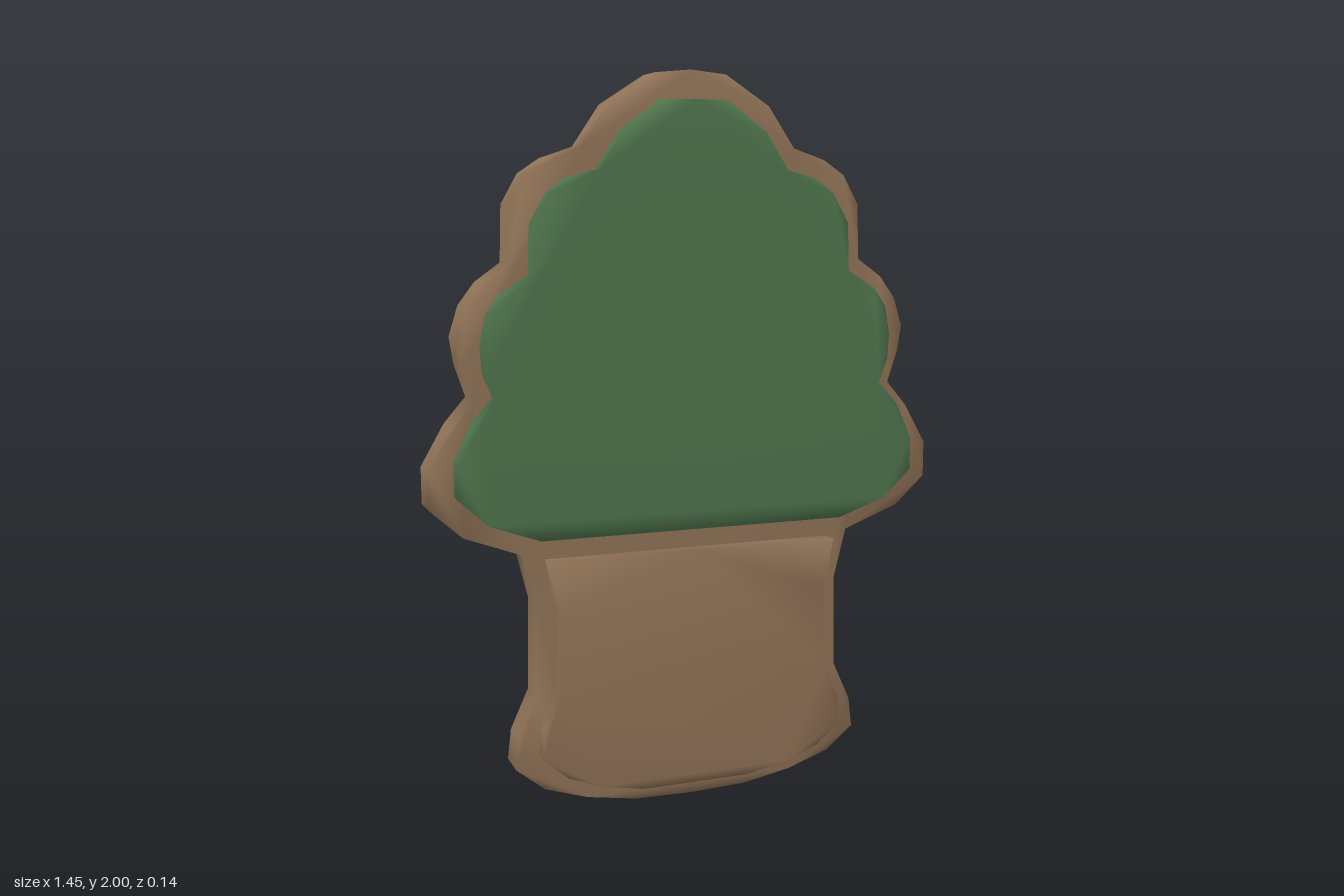
import * as THREE from 'three';

const material = (name, color) => {
  const m = new THREE.MeshStandardMaterial({ name, color, side: THREE.DoubleSide });
  return m;
};
const brown = material('warm brown', 0x8f7256);
const green = material('leaf green', 0x4e734c);

// Right halves of the outlines, from top to bottom
const BODY = [[0.10, 1.99], [0.225, 1.91], [0.30, 1.80], [0.39, 1.77], [0.45, 1.73], [0.495, 1.65],
  [0.50, 1.50], [0.57, 1.45], [0.615, 1.39], [0.64, 1.31], [0.63, 1.24], [0.60, 1.15], [0.66, 1.08],
  [0.723, 0.97], [0.723, 0.87], [0.635, 0.79], [0.475, 0.73], [0.44, 0.59], [0.445, 0.33],
  [0.495, 0.22], [0.505, 0.135], [0.425, 0.07], [0.305, 0.03], [0.165, 0.005]];
const CROWN = [[0.09, 1.92], [0.20, 1.84], [0.265, 1.74], [0.345, 1.72], [0.40, 1.68], [0.445, 1.60],
  [0.45, 1.47], [0.53, 1.42], [0.565, 1.37], [0.58, 1.29], [0.575, 1.22], [0.55, 1.155],
  [0.61, 1.09], [0.655, 0.99], [0.655, 0.90], [0.575, 0.825], [0.435, 0.775]];
const POT = [[0.415, 0.715], [0.385, 0.57], [0.39, 0.35], [0.435, 0.245], [0.44, 0.17],
  [0.37, 0.11], [0.28, 0.075], [0.155, 0.05]];

// Closed counter-clockwise outline with a middle point at the top and bottom
function outline(half, top, bottom) {
  const left = half.map(([x, y]) => new THREE.Vector2(-x, y));
  const right = half.map(([x, y]) => new THREE.Vector2(x, y)).reverse();
  return [new THREE.Vector2(0, top), ...left, new THREE.Vector2(0, bottom), ...right];
}

// Open-backed tray: a front face and a wall running back from its edge, smoothly shaded
function tray(name, mat, points, back, front) {
  const n = points.length;
  const positions = [front, back].flatMap(z => points.flatMap(p => [p.x, p.y, z]));
  const index = THREE.ShapeUtils.triangulateShape(points, []).flat();
  for (let i = 0; i < n; i++) {
    const j = (i + 1) % n;
    index.push(i, n + i, n + j, i, n + j, j);
  }
  const geo = new THREE.BufferGeometry();
  geo.setAttribute('position', new THREE.Float32BufferAttribute(positions, 3));
  geo.setIndex(index);
  geo.computeVertexNormals();
  const mesh = new THREE.Mesh(geo, mat);
  mesh.name = name;
  return mesh;
}

export function createModel() {
  const model = new THREE.Group();
  model.name = 'pottedTreePlaque';

  // Hollow body behind the raised panels
  model.add(tray('body', brown, outline(BODY, 2, 0), -0.071, 0.024));
  // Leafy crown, its wall just cutting through the body's face
  model.add(tray('crownPanel', green, outline(CROWN, 1.922, 0.775), 0.021, 0.067));
  // Pot panel, its wall standing out inside the hollow back
  model.add(tray('potPanel', brown, outline(POT, 0.715, 0.05), -0.005, 0.071));
  return model;
}
